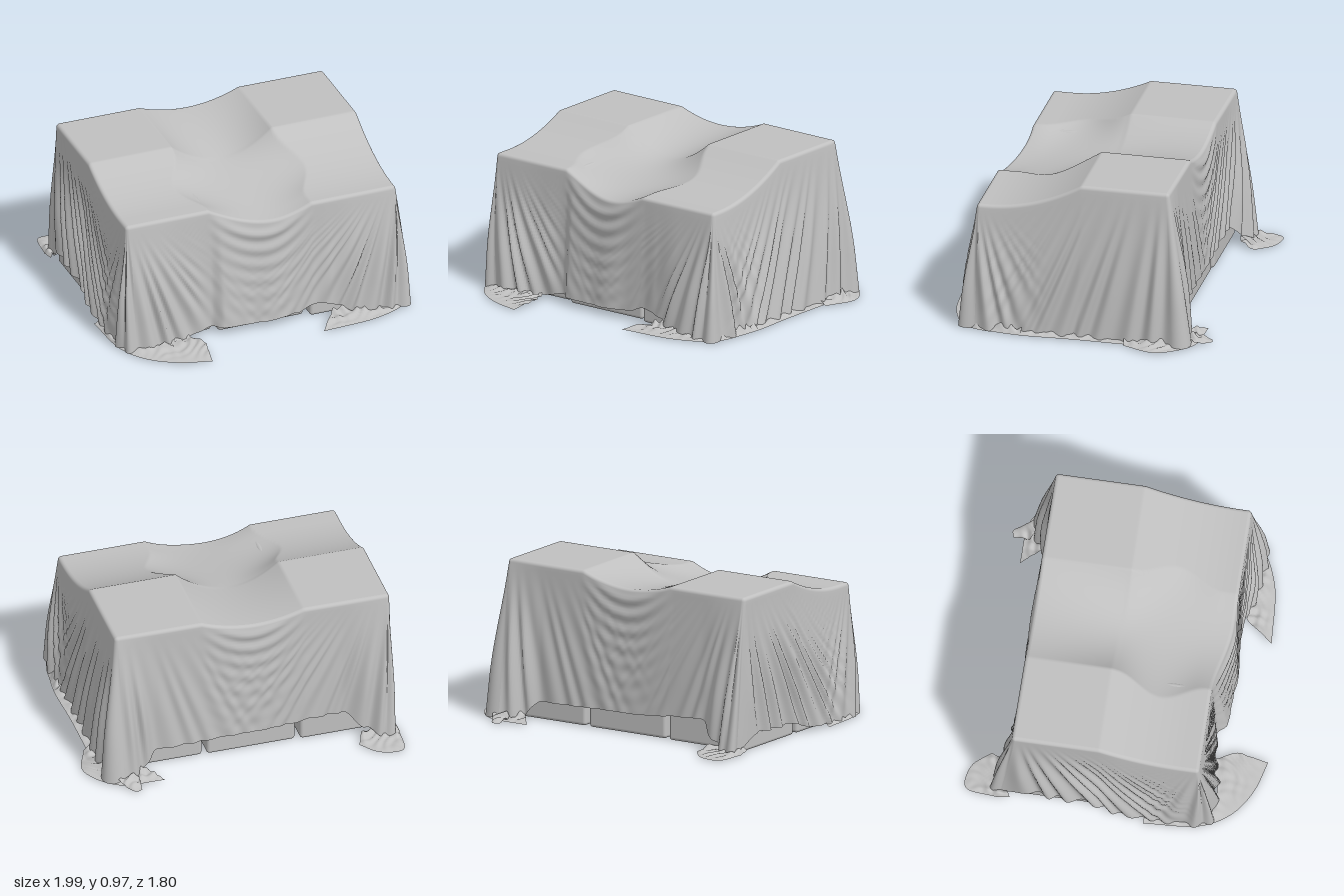
import * as THREE from 'three';
import { RoundedBoxGeometry } from 'three/addons/geometries/RoundedBoxGeometry.js';

const { clamp, lerp, smoothstep } = THREE.MathUtils;

// Cloth extents, and the rounding where it bends over the edges
const X0 = -0.92, X1 = 0.81, R = 0.022, NX = 150, NZ = 120;
const backZ = x => lerp(-0.615, -0.597, (x - X0) / (X1 - X0));
const frontZ = x => lerp(0.53, 0.6, smoothstep(x, -0.38, 0.1));

// Height of the cloth: flat on the tall stacks, sagging between them
function height(x, z) {
  const slope = (high, low, start, len) => low + (high - low) * (1 - clamp((z - start) / len, 0, 1)) ** 2;
  const left = slope(0.955, 0.83, -0.08, 0.5), right = slope(0.97, 0.79, -0.05, 0.6);
  const f = clamp((z + 0.6) / 1.18, 0, 1);
  const middle = lerp(0.9, 0.72, lerp(f, smoothstep(f, 0, 1), 0.5));
  const spread = 0.1 * Math.sin(Math.PI * clamp((z + 0.05) / 0.55, 0, 1)) ** 2;
  const w = clamp((x + 0.38 + spread) / (0.64 + 2 * spread), 0, 1);
  return lerp(left, right, w) - ((left + right) / 2 - middle) * 4 * w * (1 - w);
}

// Hem around the cloth: [side + fraction, outward flare, hem height, fold depth]
// sides: 0 front, 1 right, 2 back, 3 left
const HEM = [
  [0, 0.045, 0.005, 0.03], [0.1, 0.06, 0.005, 0.04], [0.22, 0.04, 0.02, 0.025], [0.31, 0.03, 0.05, 0.004],
  [0.35, 0.08, 0.05, 0.003], [0.5, 0.045, 0.05, 0.004], [0.63, 0.015, 0.06, 0.006], [0.7, 0.01, 0.1, 0.01],
  [0.76, 0.02, 0.08, 0.02], [0.86, 0.05, 0.01, 0.04], [1, 0.06, 0.005, 0.04],
  [1.2, 0.05, 0.005, 0.03], [1.6, 0.045, 0.005, 0.03], [1.85, 0.06, 0.005, 0.03], [2, 0.07, 0.005, 0.04],
  [2.07, 0.04, 0.02, 0.04], [2.14, 0.01, 0.12, 0.015], [2.5, 0.008, 0.13, 0.008], [2.83, 0.01, 0.17, 0.02],
  [2.92, 0.03, 0.06, 0.035], [3, 0.03, 0.005, 0.03], [3.1, 0.005, 0.1, 0.035], [3.4, 0.005, 0.09, 0.035],
  [3.6, 0.035, 0.03, 0.025], [3.85, 0.04, 0.005, 0.025], [4, 0.045, 0.005, 0.03],
];
function hemAt(t) {
  let i = 0;
  while (i < HEM.length - 2 && t > HEM[i + 1][0]) i++;
  const a = HEM[i], b = HEM[i + 1], k = smoothstep(t, a[0], b[0]);
  return [1, 2, 3].map(c => lerp(a[c], b[c], k));
}

// Per corner: how tightly folds fan out, fold phase, and [x, z] drag of the hem
const CORNERS = [
  { spread: 0.22, phase: 0.4, drag: [0.02, 0.03] }, { spread: 0.22, phase: 1.3, drag: [0, 0.02] },
  { spread: 0.9, phase: 2.2, drag: [0, -0.06] }, { spread: 0.4, phase: 0.9, drag: [0.04, -0.09] },
];

// Surface over a grid of points
function gridSurface(nu, nv, point) {
  const pos = [], index = [], w = nu + 1;
  for (let j = 0; j <= nv; j++) {
    for (let i = 0; i <= nu; i++) {
      pos.push(...point(i, j));
      if (i < nu && j < nv) {
        const a = j * w + i, b = a + 1, c = a + w, d = c + 1;
        index.push(a, c, b, b, c, d);
      }
    }
  }
  const geo = new THREE.BufferGeometry();
  geo.setAttribute('position', new THREE.Float32BufferAttribute(pos, 3));
  geo.setIndex(index);
  geo.computeVertexNormals();
  return geo;
}

// Point on the top sheet
function topPoint(u, v) {
  const x = lerp(X0 + R, X1 - R, u);
  const z = lerp(backZ(x) + R, frontZ(x) - R, v);
  return [x, height(x, z), z];
}

// Columns of the skirt, walking the four sides and the corners between them;
// d0 and d1 are the distances from the previous and the next corner
function skirtColumns() {
  const columns = [];
  const edge = [f => topPoint(f, 1), f => topPoint(1, 1 - f), f => topPoint(1 - f, 0), f => topPoint(0, f)];
  const blend = [[0.35, 0.65], [0, 0.4], [0.35, 0.65], [0.65, 1]];
  for (let s = 0; s < 4; s++) {
    const n = s % 2 ? NZ : NX, len = s % 2 ? 1.16 : 1.7, angle = (1 - s) * Math.PI / 2;
    for (let i = 0; i <= n; i++) {
      const f = i / n;
      columns.push({
        t: s + f, side: s, p: edge[s](f), angle, corner: s,
        d0: 0.06 + f * len, d1: -0.06 - (1 - f) * len, mix: smoothstep(f, ...blend[s]),
      });
    }
    for (let k = 1; k <= 20; k++) {
      columns.push({
        t: s + 1, side: -1, p: edge[s](1), angle: angle - k / 20 * Math.PI / 2, corner: s,
        d0: 9, d1: (k / 20 - 0.5) * 0.12, mix: 1,
      });
    }
  }
  return columns;
}

// Folds fan out from a corner
function fan({ spread, phase }, d, depth) {
  const a = 45 * (spread + 0.9) * d / (spread + depth) + phase;
  return 0.5 + 0.5 * Math.sin(a + 0.9 * Math.sin(a * 0.37 + phase));
}

function skirtPoint(c, j) {
  const bend = 5, drop = 44;
  const nx = Math.cos(c.angle), nz = Math.sin(c.angle), [x, top, z] = c.p;
  if (j <= bend) {
    const a = j / bend * Math.PI / 2, out = R * Math.sin(a);
    return [x + nx * out, top - R * (1 - Math.cos(a)), z + nz * out];
  }
  const v = (j - bend) / drop, [flare, hem, folds] = hemAt(c.t);
  const y = lerp(top - R, hem, v), depth = top - y;
  const before = CORNERS[c.corner], after = CORNERS[(c.corner + 1) % 4];
  const fold = lerp(fan(before, c.d0, depth), fan(after, c.d1, depth), c.mix);
  let out = R + flare * v ** 0.85 + folds * fold * smoothstep(v, 0, 0.75);
  // curved swags under the sagging middle
  if (c.side === 0 || c.side === 2) {
    const m = x + 0.06, window = Math.max(0, 1 - (m / 0.34) ** 2);
    const fade = clamp(depth / 0.08, 0, 1) * Math.exp(-depth / 0.3);
    out += 0.022 * window * fade * (0.5 + 0.5 * Math.sin(62 * (y - 1.7 * m * m)));
  }
  // hem dragged along by the corner tails
  const pull = d => v * clamp(1.2 - Math.abs(d) / 0.3, 0, 1) ** 2;
  const k0 = pull(c.d0), k1 = pull(c.d1);
  return [
    x + nx * out + before.drag[0] * k0 + after.drag[0] * k1, y,
    z + nz * out + before.drag[1] * k0 + after.drag[1] * k1,
  ];
}

// Crumpled cloth lying on the floor between two curves of [x, z] points
function puddle(inner, outer, lift) {
  const curve = pts => new THREE.CatmullRomCurve3(pts.map(([x, z]) => new THREE.Vector3(x, 0, z)));
  const a = curve(inner), b = curve(outer), p = new THREE.Vector3();
  return gridSurface(60, 16, (i, j) => {
    const u = i / 60, v = j / 16;
    p.copy(a.getPoint(u)).lerp(b.getPoint(u), v);
    const crumple = Math.sin(48 * p.x + 4 * Math.sin(17 * p.z)) * Math.sin(41 * p.z + 3 * Math.sin(23 * p.x));
    return [p.x, 0.006 + lift * (1 - v) * (0.6 + 0.4 * crumple) + 0.003 * (1 + crumple) * (1 - v * v), p.z];
  });
}

export function createModel() {
  const group = new THREE.Group();
  const grey = new THREE.MeshStandardMaterial({ color: 0xc0c0c0, side: THREE.DoubleSide });
  grey.name = 'grey';
  const add = (name, geometry) => {
    const mesh = new THREE.Mesh(geometry, grey);
    mesh.name = name;
    group.add(mesh);
    return mesh;
  };

  // Six boxes under the cloth: [x0, x1, z0, z1, height]
  const boxes = {
    backRightBox: [-0.91, -0.36, -0.6, -0.06, 0.94], backMiddleBox: [-0.33, 0.225, -0.59, -0.05, 0.5],
    backLeftBox: [0.255, 0.8, -0.585, -0.05, 0.955], frontRightBox: [-0.91, -0.36, -0.025, 0.52, 0.81],
    frontMiddleBox: [-0.33, 0.225, -0.015, 0.555, 0.5], frontLeftBox: [0.255, 0.8, -0.015, 0.59, 0.77],
  };
  for (const [name, [x0, x1, z0, z1, h]] of Object.entries(boxes)) {
    add(name, new RoundedBoxGeometry(x1 - x0, h, z1 - z0, 4, 0.02))
      .position.set((x0 + x1) / 2, h / 2, (z0 + z1) / 2);
  }

  // Draped cloth
  add('clothTop', gridSurface(NX, NZ, (i, j) => topPoint(i / NX, j / NZ)));
  const columns = skirtColumns();
  add('clothSkirt', gridSurface(columns.length - 1, 49, (i, j) => skirtPoint(columns[i], j)));

  // Loose cloth on the floor
  add('frontRightTail', puddle([[-0.96, 0.2], [-0.92, 0.57], [-0.7, 0.61], [-0.55, 0.56], [-0.47, 0.7]],
    [[-0.995, 0.2], [-0.96, 0.55], [-0.86, 0.72], [-0.7, 0.83], [-0.5, 0.89]], 0.03));
  add('frontLeftTail', puddle([[0.88, 0.3], [0.84, 0.6], [0.6, 0.63], [0.38, 0.63]],
    [[0.92, 0.3], [0.86, 0.64], [0.65, 0.76], [0.26, 0.8]], 0.05));
  add('backLeftTail', puddle([[0.86, -0.33], [0.85, -0.6], [0.74, -0.65], [0.64, -0.66]],
    [[0.93, -0.34], [0.995, -0.55], [0.84, -0.75], [0.55, -0.78]], 0.05));
  add('backLeftTuft', puddle([[0.86, -0.68], [0.77, -0.7], [0.7, -0.74]],
    [[0.79, -0.8], [0.75, -0.85], [0.71, -0.84]], 0.05));
  add('backRightTail', puddle([[-0.95, -0.62], [-0.9, -0.65], [-0.8, -0.66], [-0.72, -0.68]],
    [[-0.955, -0.7], [-0.92, -0.895], [-0.78, -0.88], [-0.68, -0.77]], 0.05));
  add('leftHem', puddle([[0.85, -0.35], [0.85, 0], [0.86, 0.3], [0.86, 0.5]],
    [[0.91, -0.35], [0.91, 0], [0.92, 0.3], [0.9, 0.5]], 0.02));
  return group;
}
